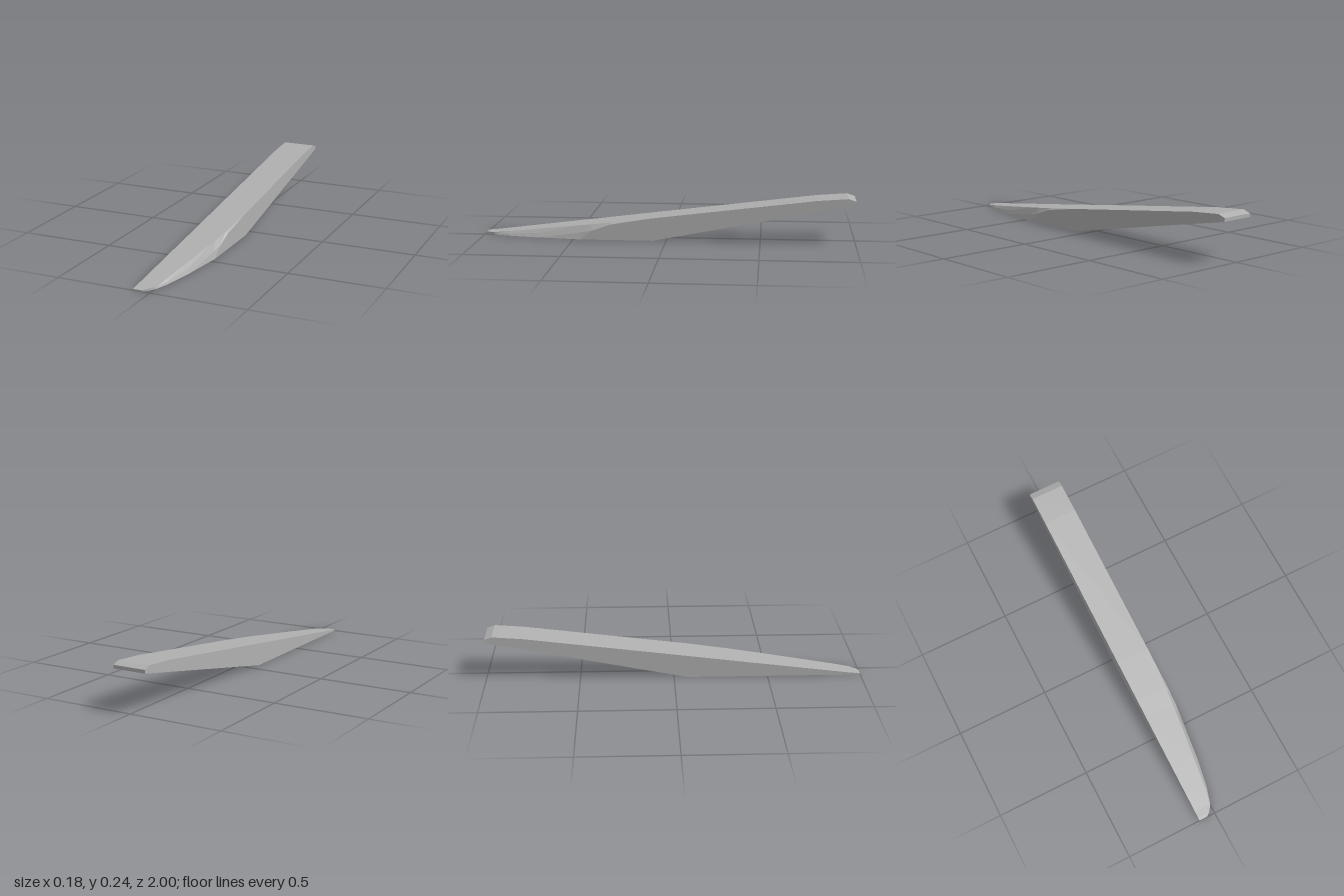
import * as THREE from 'three';

const LEFT = -0.09;

// Cross-sections from tip to tail:
// [z, bottom y, top y, right edge x at bottom, middle, top, height fraction of the middle]
const SECTIONS = [
  [1.0, 0, 0.007, -0.045, -0.045, -0.045, 0.5],
  [0.985, 0, 0.009, -0.025, -0.025, -0.025, 0.5],
  [0.95, 0, 0.012, 0.002, 0.001, 0, 0.5],
  [0.86, 0, 0.023, 0.03, 0.025, 0.016, 0.5],
  [0.7, 0, 0.043, 0.06, 0.05, 0.036, 0.5],
  [0.46, 0, 0.073, 0.09, 0.081, 0.064, 0.5],
  [0.4, 0, 0.08, 0.09, 0.09, 0.07, 0.6],
  [0.3, 0, 0.093, 0.09, 0.09, 0.079, 0.9],
  [0.1, 0, 0.118, 0.09, 0.09, 0.09, 0.9],
  [0.07, 0, 0.122, 0.09, 0.09, 0.09, 0.5],
  [-0.8, 0.171, 0.23, 0.09, 0.09, 0.09, 0.5],
  [-0.96, 0.202, 0.242, 0.09, 0.09, 0.09, 0.5],
  [-1.0, 0.21, 0.228, 0.09, 0.09, 0.09, 0.5],
];

// Five-cornered loop, counterclockwise seen from the tip
function ring([z, y0, y1, xb, xm, xt, f]) {
  return [
    [LEFT, y0, z], [xb, y0, z], [xm, y0 + (y1 - y0) * f, z], [xt, y1, z], [LEFT, y1, z],
  ];
}

// Joins the loops into a closed faceted solid
function loft(rings) {
  const pos = [];
  const tri = (a, b, c) => pos.push(...a, ...b, ...c);
  const n = rings[0].length;
  for (let i = 0; i < rings.length - 1; i++) {
    const a = rings[i], b = rings[i + 1];
    for (let j = 0; j < n; j++) {
      const k = (j + 1) % n;
      tri(a[j], b[j], b[k]);
      tri(a[j], b[k], a[k]);
    }
  }
  const first = rings[0], last = rings[rings.length - 1];
  for (let j = 1; j < n - 1; j++) {
    tri(first[0], first[j], first[j + 1]);
    tri(last[0], last[j + 1], last[j]);
  }
  const geometry = new THREE.BufferGeometry();
  geometry.setAttribute('position', new THREE.Float32BufferAttribute(pos, 3));
  geometry.computeVertexNormals();
  return geometry;
}

export function createModel() {
  const group = new THREE.Group();
  group.name = 'taperedBlade';

  const grey = new THREE.MeshStandardMaterial({ color: 0xb0b0b0 });
  grey.name = 'grey';

  // Sloping bar with a curved, bevelled tip
  const blade = new THREE.Mesh(loft(SECTIONS.map(ring)), grey);
  blade.name = 'blade';
  group.add(blade);
  return group;
}
